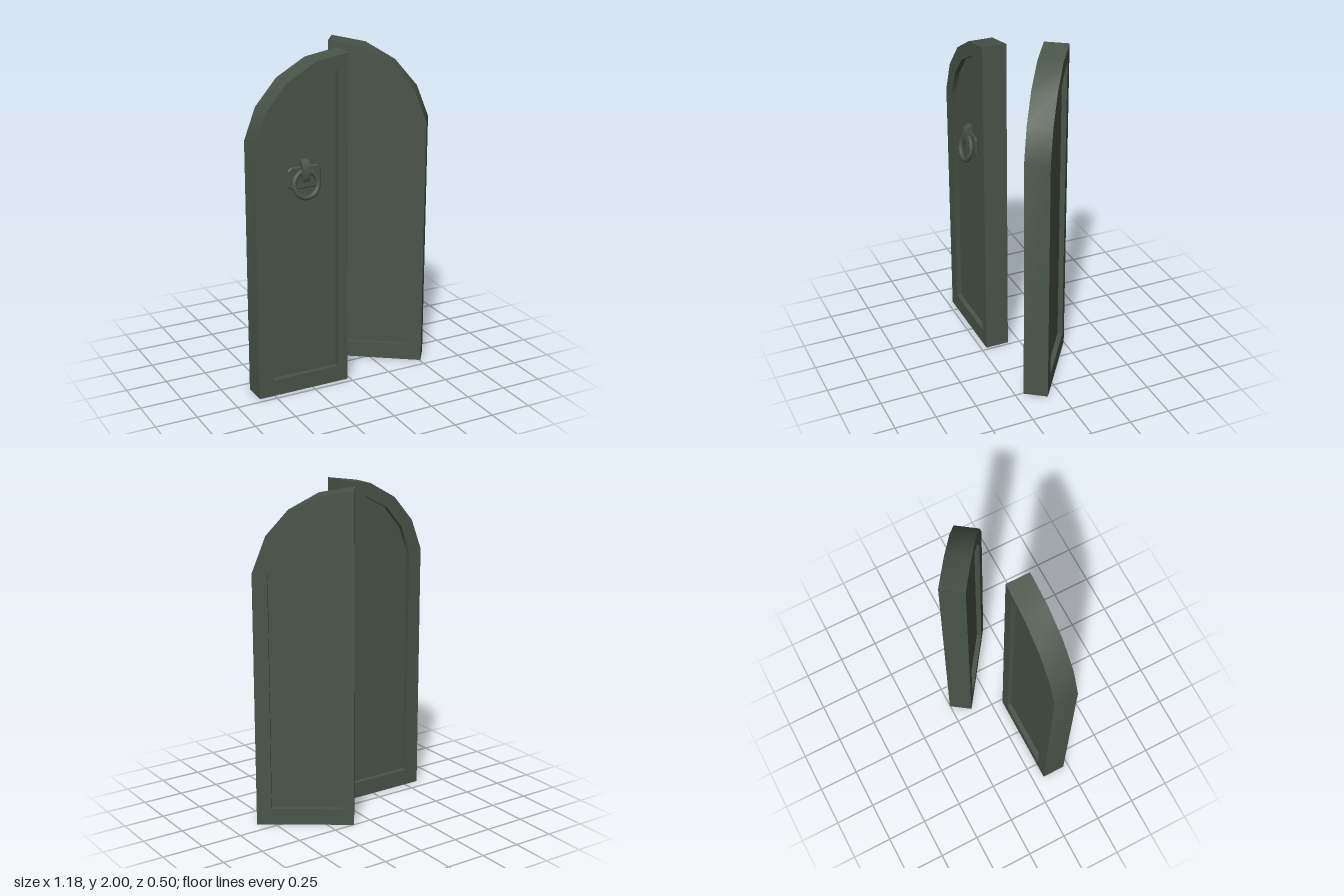
import * as THREE from 'three';
import { toCreasedNormals } from 'three/addons/utils/BufferGeometryUtils.js';

const THICK = 0.145, RECESS = 0.03;

// Half-arch outlines: distance from the meeting edge, height
const OUTER = [[0, 0], [0.577, 0], [0.577, 1.53], [0.507, 1.715], [0.376, 1.867], [0.2, 1.967], [0, 2]];
const INNER = [[0.065, 0.1], [0.489, 0.1], [0.489, 1.525], [0.431, 1.68], [0.32, 1.81], [0.17, 1.89], [0.065, 1.91]];

export function createModel() {
  const model = new THREE.Group();
  model.name = 'archedDoubleDoor';
  const green = new THREE.MeshStandardMaterial({ color: 0x4a5449 });
  green.name = 'darkGreyGreen';

  const add = (parent, name, geometry) => {
    const mesh = new THREE.Mesh(geometry, green);
    mesh.name = name;
    parent.add(mesh);
    return mesh;
  };
  const extrude = (shape, depth, bevel = 0) => toCreasedNormals(new THREE.ExtrudeGeometry(shape, {
    depth, bevelEnabled: bevel > 0, bevelThickness: bevel, bevelSize: bevel, bevelOffset: -bevel, bevelSegments: 1,
  }), 0.5);

  // One leaf: a frame with a panel recessed on both faces; front face at z = 0
  const makeDoor = (name, side) => {
    const door = new THREE.Group();
    door.name = name;
    // Mirrored outlines are reversed so that the walls of the opening face inwards
    const points = (list) => {
      const outline = list.map(([u, y]) => new THREE.Vector2(side * u, y));
      return side < 0 ? outline.reverse() : outline;
    };
    const frame = new THREE.Shape(points(OUTER));
    frame.holes.push(new THREE.Path(points(INNER)));
    add(door, 'frame', extrude(frame, THICK)).position.z = -THICK;
    add(door, 'panel', extrude(new THREE.Shape(points(INNER)), THICK - 2 * RECESS)).position.z = RECESS - THICK;
    model.add(door);
    return door;
  };

  const rightDoor = makeDoor('rightDoor', -1);
  rightDoor.position.set(-0.018, 0, 0.216);

  // The other leaf stands ajar
  const leftDoor = makeDoor('leftDoor', 1);
  leftDoor.position.set(0.035, 0, -0.134);
  leftDoor.rotation.y = -0.615;

  // Ring handle on the closed leaf
  const handle = new THREE.Group();
  handle.name = 'ringHandle';
  handle.position.set(-0.267, 1.275, -RECESS);
  rightDoor.add(handle);

  // Back plate with cut corners
  const w = 0.105, h = 0.065, c = 0.02;
  const plate = new THREE.Shape([[-w, c - h], [c - w, -h], [w - c, -h], [w, c - h], [w, h - c], [w - c, h], [c - w, h], [-w, h - c]]
    .map(([x, y]) => new THREE.Vector2(x, y)));
  add(handle, 'backPlate', extrude(plate, 0.004, 0.005)).position.set(0, 0.035, 0.005);

  // Hanging ring, tilted outwards at the bottom
  const ring = add(handle, 'ring', new THREE.TorusGeometry(0.075, 0.015, 8, 24));
  ring.position.set(0, -0.002, 0.033);
  ring.rotation.x = -0.22;

  // Strap looping over the top of the ring (profile: forward, up)
  const strap = new THREE.Shape([[0, 0.14], [0.016, 0.138], [0.032, 0.12], [0.042, 0.08], [0.042, 0.03], [0.034, 0.012], [0, 0.01]]
    .map(([z, y]) => new THREE.Vector2(z, y)));
  const strapMesh = add(handle, 'strap', extrude(strap, 0.045));
  strapMesh.rotation.y = -Math.PI / 2;
  strapMesh.position.x = 0.0225;

  return model;
}
